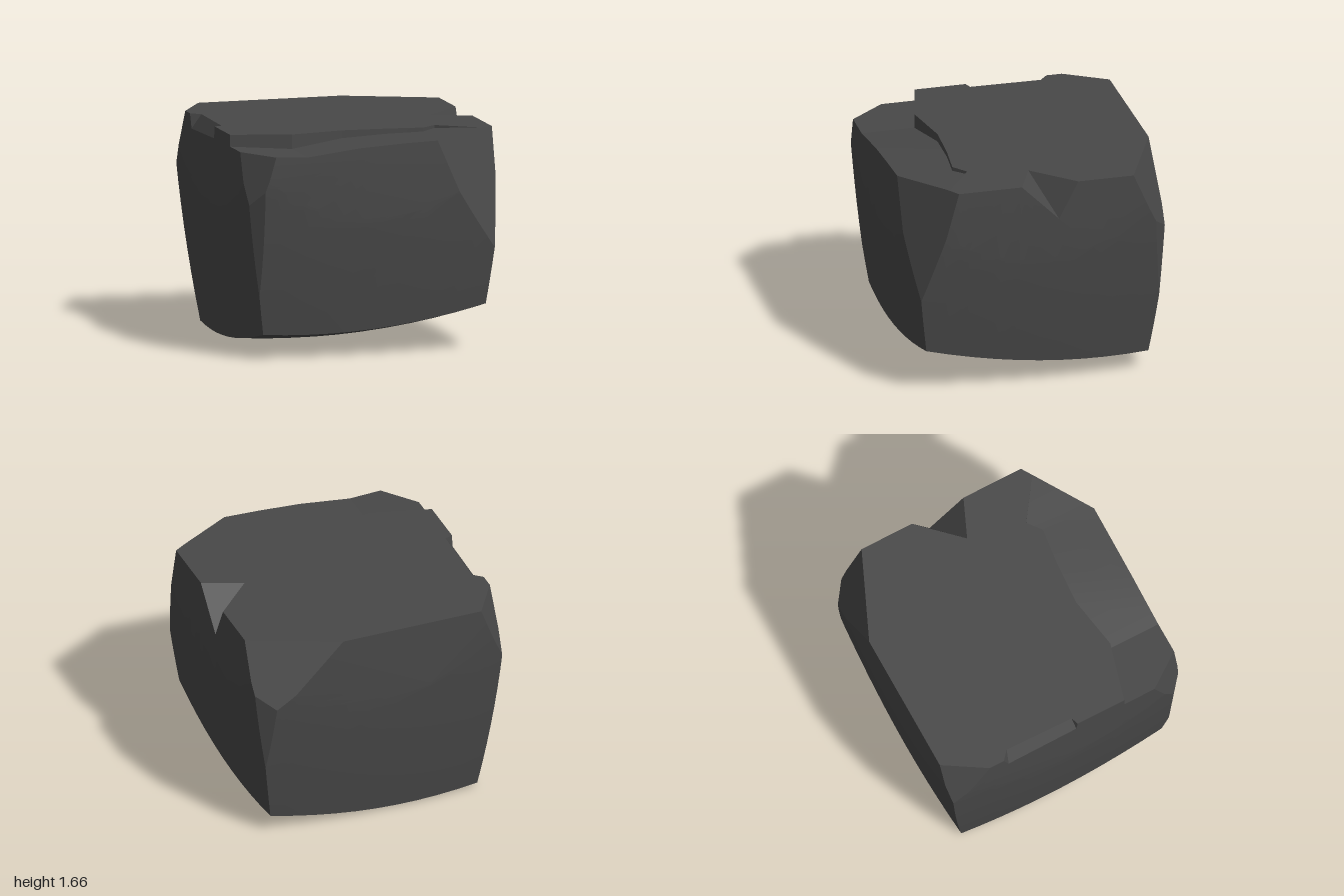
import * as THREE from 'three';
import { toCreasedNormals } from 'three/addons/utils/BufferGeometryUtils.js';

const TOP = 1.66;
const V = (p) => new THREE.Vector3(...p);

// Plane through three points, with its normal facing away from the waste point
function cutPlane(a, b, c, waste) {
  const plane = new THREE.Plane().setFromCoplanarPoints(V(a), V(b), V(c));
  return plane.distanceToPoint(V(waste)) > 0 ? plane.negate() : plane;
}

// Part of a polygon on one side of a plane
function clip(poly, plane, sign) {
  const out = [];
  poly.forEach((p, i) => {
    const q = poly[(i + 1) % poly.length];
    const dp = sign * plane.distanceToPoint(p), dq = sign * plane.distanceToPoint(q);
    if (dp >= 0) out.push(p);
    if ((dp > 0 && dq < 0) || (dp < 0 && dq > 0)) out.push(p.clone().lerp(q, dp / (dp - dq)));
  });
  return out;
}

// Cross-section of a convex solid, facing against the plane's normal
function section(solid, plane) {
  const pts = [];
  for (const poly of solid) {
    poly.forEach((p, i) => {
      const q = poly[(i + 1) % poly.length];
      const dp = plane.distanceToPoint(p), dq = plane.distanceToPoint(q);
      if (dp * dq >= 0) return;
      const hit = p.clone().lerp(q, dp / (dp - dq));
      if (!pts.some((o) => o.distanceTo(hit) < 1e-5)) pts.push(hit);
    });
  }
  if (pts.length < 3) return [];
  const mid = pts.reduce((s, p) => s.add(p), new THREE.Vector3()).divideScalar(pts.length);
  const n = plane.normal.clone().negate();
  const u = pts[0].clone().sub(mid).normalize(), v = n.clone().cross(u);
  const angle = (p) => { const d = p.clone().sub(mid); return Math.atan2(d.dot(v), d.dot(u)); };
  return pts.sort((p, q) => angle(p) - angle(q));
}

// Remove the region behind all planes; the first `capped` planes get new faces
function carve(surface, solid, planes, capped = planes.length) {
  const result = [];
  let rest = surface;
  for (const plane of planes) {
    result.push(...rest.map((p) => clip(p, plane, 1)));
    rest = rest.map((p) => clip(p, plane, -1)).filter((p) => p.length > 2);
  }
  planes.slice(0, capped).forEach((plane) => {
    let cap = section(solid, plane);
    for (const other of planes) if (other !== plane) cap = clip(cap, other, -1);
    result.push(cap);
  });
  return result.filter((p) => p.length > 2);
}

// Block tapering to a tilted, sagging base, with slightly swollen sides
function swollenBlock() {
  const box = new THREE.BoxGeometry(2, 2, 2, 10, 10, 10).toNonIndexed();
  const pos = box.attributes.position, polys = [];
  for (let i = 0; i < pos.count; i += 3) {
    polys.push([0, 1, 2].map((k) => {
      const u = pos.getX(i + k), v = pos.getY(i + k), w = pos.getZ(i + k);
      const base = 0.18 + 0.07 * u + 0.09 * w + 0.01 * u * w - 0.07 * (2 - u * u - w * w);
      const y = THREE.MathUtils.lerp(base, 1.8, (v + 1) / 2);
      const half = 0.83 + 0.165 * y - 0.035 * y * y;
      return new THREE.Vector3(u * (half + 0.035 * (1 - w * w)), y, w * (half + 0.035 * (1 - u * u)));
    }));
  }
  return polys;
}

export function createModel() {
  let block = swollenBlock();
  const slice = (plane) => { block = carve(block, block, [plane]); };

  // Flat top and flattened upper sides
  slice(new THREE.Plane(new THREE.Vector3(0, -1, 0), TOP));
  for (const s of [-1, 1]) {
    slice(new THREE.Plane(new THREE.Vector3(s, 0, 0), 1));
    slice(new THREE.Plane(new THREE.Vector3(0, 0, s), 1));
  }

  // Chipped corners: three points on each cut
  const chips = [
    [[0.47, 1.63, 1], [1, TOP, 0.66], [0.935, 0.8, 0.935]],
    [[-0.8, 1.56, 1], [-1, 1.56, 0.73], [-0.88, 1.28, 1]],
    [[-0.87, 1.28, 1], [-1, 1.15, 0.88], [-0.905, 0.55, 0.905]],
    [[0.32, TOP, -1], [1, TOP, -0.7], [1, 1.27, -0.87]],
    [[1, 1.27, -0.87], [0.83, 1.2, -1], [0.92, 0.65, -0.92]],
    [[-0.8, TOP, -1], [-1, TOP, -0.68], [-0.978, 1.22, -0.978]],
  ];
  for (const [a, b, c] of chips) {
    slice(cutPlane(a, b, c, [Math.sign(c[0]) * 3, 1.8, Math.sign(c[2]) * 3]));
  }
  const solid = block;

  // Wedge notch in the left edge of the top
  const tip = [0.7, TOP, 0.04], low = [1, 1.37, -0.12], inNotch = [1, TOP, -0.05];
  block = carve(block, solid, [
    cutPlane(tip, [1, TOP, 0.17], low, inNotch),
    cutPlane(tip, [1, TOP, -0.27], low, inNotch),
  ]);

  // Long shallow chip in the right edge of the top
  const inChip = [-1, TOP, -0.2];
  block = carve(block, solid, [
    cutPlane([-0.94, TOP, 0.05], [-0.93, TOP, -0.45], [-1, 1.56, -0.2], inChip),
    cutPlane([-0.92, TOP, -0.49], [-1, TOP, -0.56], [-1, 1.5, -0.5], inChip),
    cutPlane([-0.94, TOP, 0.05], [-1, TOP, 0.07], [-1, 1.5, 0.05], inChip),
  ]);

  // Jagged crack with a sunken ledge in front of it: x, z, ledge height
  const crack = [
    [-1.05, 0.455, 1.572], [-0.55, 0.59, 1.55], [-0.14, 0.52, 1.6], [0.2, 0.54, 1.62],
    [0.49, 0.575, 1.63], [0.6, 0.49, 1.638], [0.9, 0.7, TOP],
  ];
  for (let i = 0; i < crack.length - 1; i++) {
    const [x0, z0, y0] = crack[i], [x1, z1, y1] = crack[i + 1];
    const waste = [(x0 + x1) / 2, 2, 2];
    block = carve(block, solid, [
      cutPlane([x0, 0, z0], [x1, 0, z1], [x0, 1, z0], waste),
      cutPlane([x0, y0, 0], [x1, y1, 0], [x0, y0, 1], waste),
      new THREE.Plane(new THREE.Vector3(-1, 0, 0), x0),
      new THREE.Plane(new THREE.Vector3(1, 0, 0), -x1),
    ], 2);
  }

  // Fan every polygon into triangles
  const points = [];
  for (const p of block) {
    for (let i = 1; i < p.length - 1; i++) points.push(p[0], p[i], p[i + 1]);
  }
  const geometry = toCreasedNormals(new THREE.BufferGeometry().setFromPoints(points), 0.15);
  const stone = new THREE.Mesh(geometry, new THREE.MeshStandardMaterial({ color: 0x484848 }));
  stone.name = 'stoneBlock';

  const group = new THREE.Group();
  group.name = 'crackedStone';
  group.add(stone);
  return group;
}
